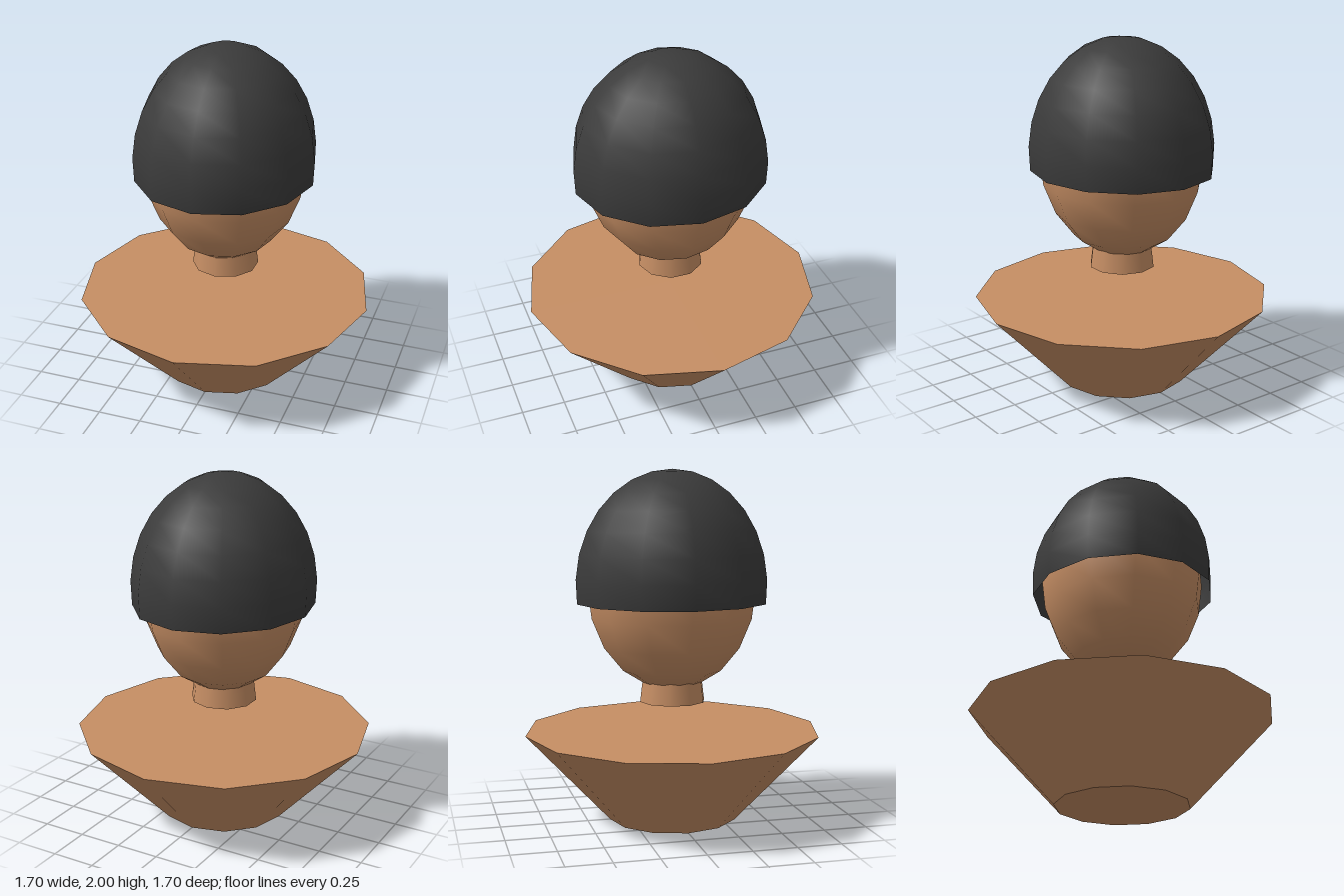
import * as THREE from 'three';

export function createModel() {
  const model = new THREE.Group();
  const skin = new THREE.MeshStandardMaterial({ color: 0xc68e64 });
  skin.name = 'warm skin';
  const dark = new THREE.MeshStandardMaterial({ color: 0x3b3b3b, side: THREE.DoubleSide });
  dark.name = 'charcoal';

  const add = (name, geometry, material, y, scale = [1, 1, 1]) => {
    const mesh = new THREE.Mesh(geometry, material);
    mesh.name = name;
    mesh.position.y = y;
    mesh.scale.set(...scale);
    model.add(mesh);
  };

  // Shoulders: a wide, closed, tapering cone section
  add('shoulders', new THREE.CylinderGeometry(0.85, 0.37, 0.513, 12), skin, 0.2565);

  // Neck: floats above the shoulders and runs up into the head
  add('neck', new THREE.CylinderGeometry(0.16, 0.19, 0.25, 10), skin, 0.805);

  // Head: egg-shaped, slightly deeper than wide
  add('head', new THREE.SphereGeometry(1, 12, 10), skin, 1.35, [0.463, 0.6, 0.49]);

  // Cap of hair: open shell ending just below its widest ring
  add('hairCap', new THREE.SphereGeometry(1, 12, 8, 0, Math.PI * 2, 0, Math.PI * 0.55),
    dark, 1.351, [0.515, 0.649, 0.555]);

  return model;
}
